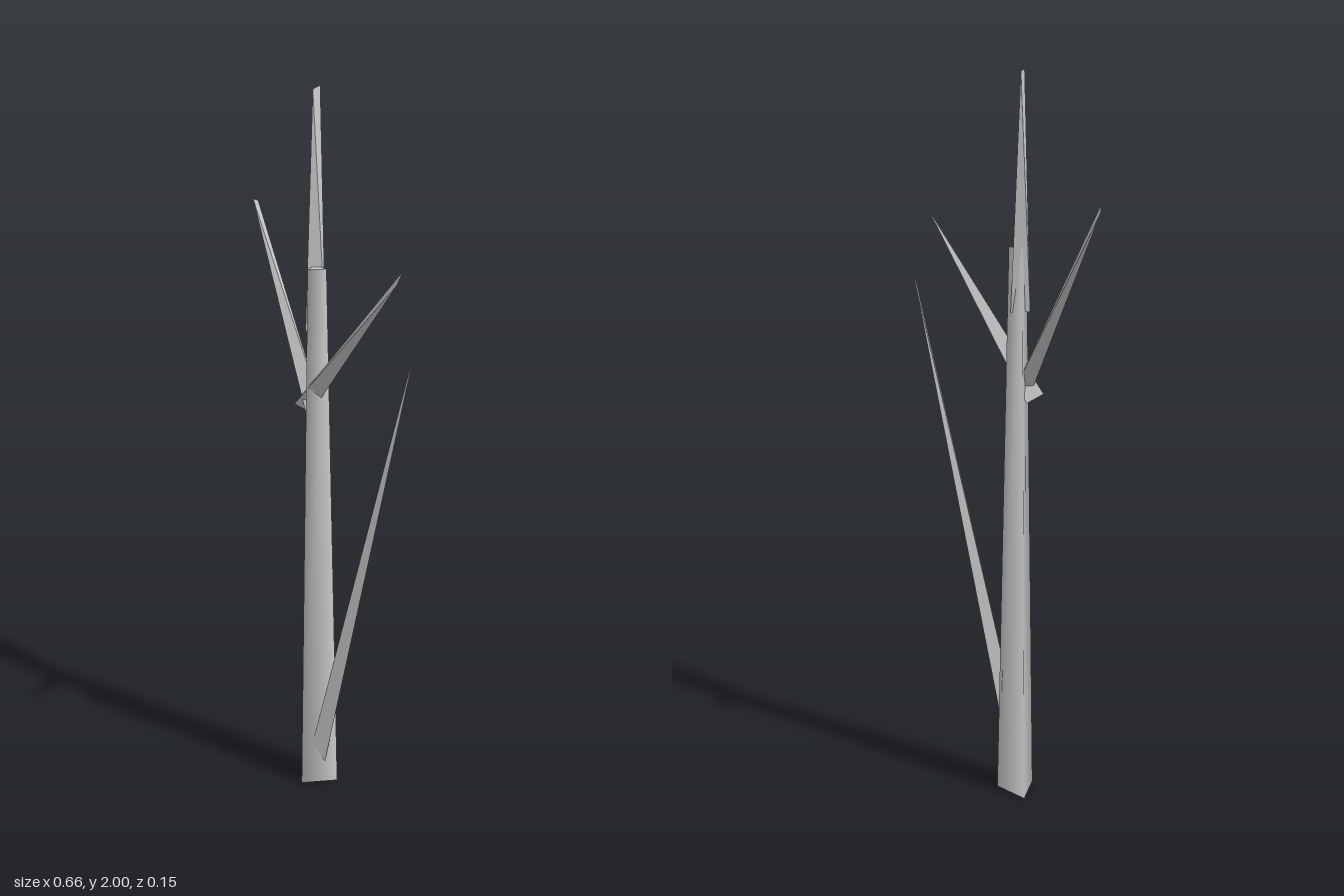
import * as THREE from 'three';
import { ConvexGeometry } from 'three/addons/geometries/ConvexGeometry.js';

const v = (p) => new THREE.Vector3(...p);

export function createModel() {
  const group = new THREE.Group();
  const smooth = new THREE.MeshStandardMaterial({ color: 0xcccccc });
  const flat = new THREE.MeshStandardMaterial({ color: 0xcccccc, flatShading: true });

  // Three-sided tapering trunk, one corner facing the front
  const trunk = new THREE.Mesh(new THREE.CylinderGeometry(0.028, 0.061, 1.555, 3), smooth);
  trunk.name = 'trunk';
  trunk.position.set(-0.037, 0.7775, 0.012);
  group.add(trunk);

  // Branches: wedges running from a root edge to a tip edge turned a quarter round
  const branches = {
    lowerLeftBranch: [
      [-0.037, 0.075, 0.047], [-0.005, 0.06, 0.013],
      [0.267, 1.443, -0.075], [0.3, 1.435, -0.04],
    ],
    upperLeftBranch: [
      [-0.1, 1.17, 0.04], [-0.07, 1.145, 0.006],
      [0.306, 1.625, 0.014], [0.33, 1.603, 0.052],
    ],
    rightBranch: [
      [-0.045, 1.14, 0.037], [-0.013, 1.15, 0.005],
      [-0.333, 1.67, -0.017], [-0.303, 1.685, 0.02],
    ],
    topBranch: [
      [-0.057, 1.385, 0.033], [-0.025, 1.385, -0.008],
      [-0.095, 2, -0.046], [-0.065, 2, 0],
    ],
  };
  for (const [name, corners] of Object.entries(branches)) {
    const branch = new THREE.Mesh(new ConvexGeometry(corners.map(v)), flat);
    branch.name = name;
    group.add(branch);
  }
  return group;
}
